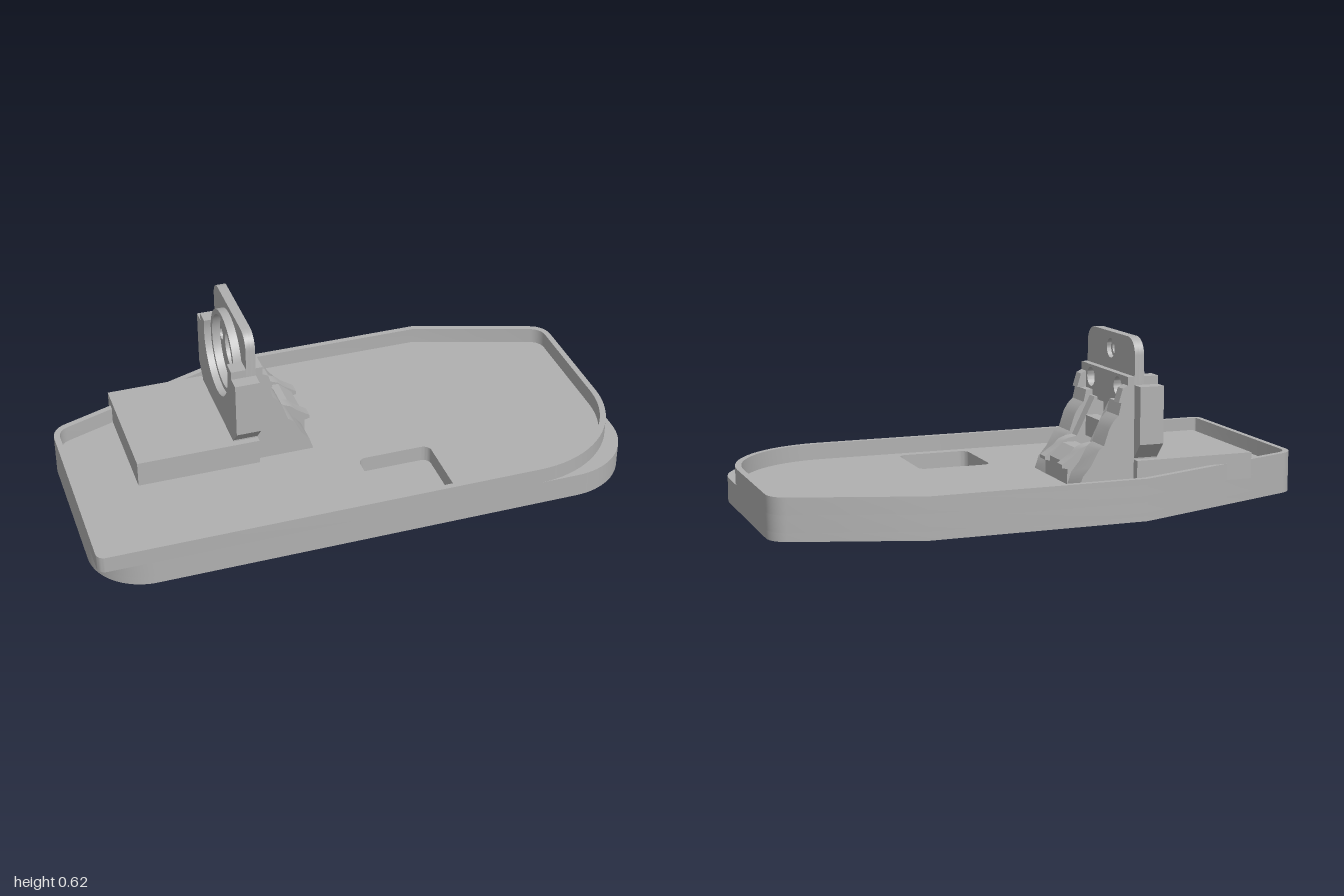
import * as THREE from 'three';
import { toCreasedNormals } from 'three/addons/utils/BufferGeometryUtils.js';

const MID = -0.15; // z of the bracket's centre plane

// Polygon corners [x, y, radius] turned into a list of points with rounded corners
function rounded(corners) {
  const pts = [];
  corners.forEach(([x, y, r], i) => {
    const p = new THREE.Vector2(x, y);
    const n = corners.length;
    if (!r) { pts.push(p); return; }
    const q0 = corners[(i + n - 1) % n], q1 = corners[(i + 1) % n];
    const a = new THREE.Vector2(q0[0], q0[1]).sub(p).normalize();
    const b = new THREE.Vector2(q1[0], q1[1]).sub(p).normalize();
    const half = Math.acos(a.dot(b)) / 2;
    const centre = a.clone().add(b).normalize().multiplyScalar(r / Math.sin(half)).add(p);
    const d = r / Math.tan(half);
    const s = a.multiplyScalar(d).add(p).sub(centre).angle();
    let sweep = b.multiplyScalar(d).add(p).sub(centre).angle() - s;
    if (sweep > Math.PI) sweep -= 2 * Math.PI;
    if (sweep < -Math.PI) sweep += 2 * Math.PI;
    const steps = r > 0.15 ? 20 : 8;
    for (let k = 0; k <= steps; k++) {
      const t = s + sweep * k / steps;
      pts.push(new THREE.Vector2(centre.x + r * Math.cos(t), centre.y + r * Math.sin(t)));
    }
  });
  return pts;
}

// Tray outline (x, -z); t moves it inward, the front corners have their own radii
function outline(t, rLeft, rRight) {
  const f = -0.52 + t, k = t * 0.84;
  return rounded([
    [-1 + t, f, rLeft - t], [1 - t, f, rRight - t], [1 - t, 0.358 - t * 0.72, 0.08 - t],
    [0.5 - t * 0.16, 0.525 - t, 0], [-0.29 + t * 0.17, 0.525 - t, 0], [-1 + t, 0.268 - k * 0.84, 0.08 - t],
  ]);
}

function shape(points, holes = []) {
  const s = new THREE.Shape(points);
  s.holes = holes.map(h => new THREE.Path(h));
  return s;
}

const vecs = list => list.map(([x, y]) => new THREE.Vector2(x, y));

function circle(x, y, r, n = 32) {
  return Array.from({ length: n }, (_, i) => {
    const a = i / n * Math.PI * 2;
    return new THREE.Vector2(x + r * Math.cos(a), y + r * Math.sin(a));
  });
}

// Round hole with a pointed roof
function teardrop(x, y, r) {
  const pts = [new THREE.Vector2(x, y + r * 1.5)];
  for (let i = 0; i <= 20; i++) {
    const a = Math.PI * (0.75 + 1.5 * i / 20);
    pts.push(new THREE.Vector2(x + r * Math.cos(a), y + r * Math.sin(a)));
  }
  return pts;
}

export function createModel() {
  const model = new THREE.Group();
  const grey = new THREE.MeshStandardMaterial({ color: 0xb0b0b0 });
  grey.name = 'plain grey';

  function add(name, geometry, parent = model) {
    const mesh = new THREE.Mesh(toCreasedNormals(geometry, 0.5), grey);
    mesh.name = name;
    parent.add(mesh);
    return mesh;
  }
  const extrude = (s, depth) => new THREE.ExtrudeGeometry(s, { depth, bevelEnabled: false });
  const upright = (s, y0, y1) => extrude(s, y1 - y0).rotateX(-Math.PI / 2).translate(0, y0, 0);
  const acrossX = (s, x0, x1) => extrude(s, x1 - x0).rotateY(-Math.PI / 2).translate(x1, 0, 0);
  const acrossZ = (s, z0, z1) => extrude(s, z1 - z0).translate(0, 0, z0);
  const box = (x0, x1, y0, y1, z0, z1) => new THREE.BoxGeometry(x1 - x0, y1 - y0, z1 - z0)
    .translate((x0 + x1) / 2, (y0 + y1) / 2, (z0 + z1) / 2);

  // Tray: solid bottom, floor with a pocket, thin raised rim
  const lower = outline(0, 0.2, 0.25);
  const pocket = rounded([[0.03, -0.46, 0.03], [0.305, -0.46, 0.03], [0.305, -0.18, 0.03], [0.03, -0.18, 0.03]]);
  add('trayBottom', upright(shape(lower), 0, 0.03));
  add('trayFloor', upright(shape(lower, [pocket]), 0.03, 0.09));
  add('trayRim', upright(shape(outline(0, 0.03, 0.4), [outline(0.022, 0.03, 0.4)]), 0.09, 0.15));

  // Bracket
  const bracket = new THREE.Group();
  bracket.name = 'bracket';
  model.add(bracket);
  add('footPlate', box(-0.76, -0.31, 0.09, 0.185, -0.39, 0.085), bracket);

  // Back plate with four screw holes, counterbored on the sloping side
  const screws = [[MID, 0.555], [MID + 0.12, 0.435], [MID - 0.12, 0.435], [MID, 0.32]];
  const plate = rounded([[-0.36, 0.09, 0], [0.06, 0.09, 0], [0.06, 0.615, 0.06], [-0.36, 0.615, 0.06]]);
  const bore = circle(MID, 0.435, 0.07);
  add('backPlate', acrossX(shape(plate, [...screws.map(([z, y]) => teardrop(z, y, 0.022)), bore]), -0.345, -0.327), bracket);
  add('counterborePlate', acrossX(shape(plate, screws.map(([z, y]) => circle(z, y, 0.035))), -0.327, -0.31), bracket);

  // Cradle with a round open-topped cut, and the ring seated in it
  const side = [[0.21, 0.09], [0.21, 0.19], [0.26, 0.245], [0.26, 0.45], [0.21, 0.45], [0.21, 0.48]];
  const cut = [];
  for (let i = 0; i <= 28; i++) {
    const a = 0.285 - (Math.PI + 0.57) * i / 28;
    cut.push([MID + 0.16 * Math.cos(a), 0.435 + 0.16 * Math.sin(a)]);
  }
  const cradle = [
    ...side.map(([z, y]) => [MID + z, y]), ...cut,
    ...side.slice().reverse().map(([z, y]) => [MID - z, y]),
  ];
  add('cradle', acrossX(shape(vecs(cradle)), -0.4, -0.345), bracket);
  add('seatRing', acrossX(shape(circle(MID, 0.435, 0.157, 48), [circle(MID, 0.435, 0.138, 48)]), -0.375, -0.345), bracket);

  // Upper slab with the two side screw holes
  const slab = vecs([[-0.36, 0.36], [0.06, 0.36], [0.06, 0.48], [-0.36, 0.48]]);
  add('upperSlab', acrossX(shape(slab, screws.slice(1, 3).map(([z, y]) => circle(z, y, 0.035))), -0.31, -0.285), bracket);

  // Sloping buttresses, cheeks, rails and ears, mirrored about the centre plane
  const slope = [[-0.31, 0.09], [-0.1, 0.09], [-0.115, 0.135], [-0.145, 0.17], [-0.175, 0.225], [-0.195, 0.24],
    [-0.215, 0.3], [-0.23, 0.325], [-0.25, 0.345], [-0.26, 0.39]];
  const buttress = shape(vecs([...slope, [-0.31, 0.39]]));
  const cheek = shape(vecs([[-0.285, 0.39], [-0.25, 0.39], [-0.265, 0.44], [-0.285, 0.45]]));
  const rail = shape(vecs([[-0.31, 0.09], [-0.1, 0.09], [-0.1, 0.145], [-0.08, 0.15], [-0.08, 0.162],
    [-0.13, 0.195], [-0.15, 0.215], [-0.175, 0.225], [-0.205, 0.23], [-0.275, 0.37], [-0.31, 0.37]]));
  const ear = vecs([[0.21, 0.19], [0.26, 0.245], [0.26, 0.45], [0.21, 0.45]]);
  const mirrored = (name, s, near, far) => [1, -1].forEach(m => {
    const a = MID + m * near, b = MID + m * far;
    add((m > 0 ? 'front' : 'rear') + name, acrossZ(s, Math.min(a, b), Math.max(a, b)), bracket);
  });
  mirrored('Buttress', buttress, 0.105, 0.21);
  mirrored('Cheek', cheek, 0.167, 0.21);
  mirrored('Rail', rail, 0.06, 0.105);
  for (const m of [1, -1]) {
    const pts = ear.map(p => new THREE.Vector2(MID + m * p.x, p.y));
    add(m > 0 ? 'frontEar' : 'rearEar', acrossX(shape(pts), -0.345, -0.31), bracket);
  }

  // Cross bars between the rails
  add('middleBar', box(-0.285, -0.24, 0.23, 0.305, MID - 0.06, MID + 0.06), bracket);
  const toe = vecs([[-0.2, 0.09], [-0.1, 0.09], [-0.1, 0.165], [-0.15, 0.21], [-0.2, 0.21]]);
  add('lowerBar', acrossZ(shape(toe), MID - 0.06, MID + 0.06), bracket);

  return model;
}
